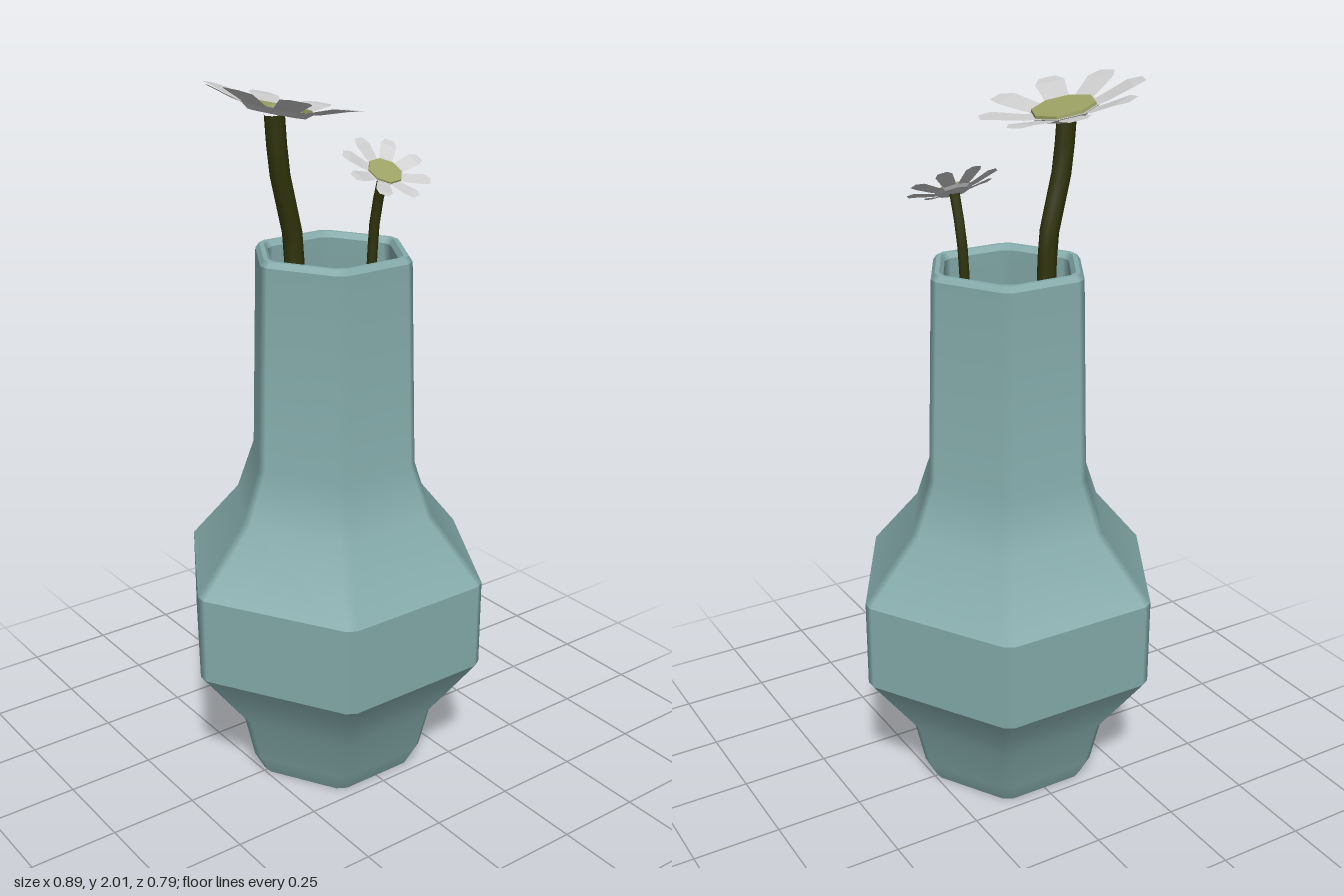
import * as THREE from 'three';

const rad = THREE.MathUtils.degToRad;
const mat = (color, flatShading, side = THREE.FrontSide) =>
  new THREE.MeshStandardMaterial({ color, flatShading, side });
const glaze = mat(0x84aaaa, false);
const white = mat(0xd8d8d8, true, THREE.DoubleSide);
const pollen = mat(0x9ca264, true);
const green = mat(0x30330a, false);

function mesh(name, geometry, material) {
  const m = new THREE.Mesh(geometry, material);
  m.name = name;
  return m;
}

// Hexagonal lathe with narrow bevelled corners: profile is [apothem, y].
// Gentle profile bends are smoothed, sharp ones stay crisp; the six sides stay flat.
function hexLathe(profile, bevel, crease) {
  const pos = [], nor = [], idx = [];
  const segs = profile.slice(1).map(([r, y], i) =>
    new THREE.Vector2(y - profile[i][1], profile[i][0] - r).normalize());
  const blend = (a, b) =>
    b && a.dot(b) > Math.cos(crease) ? a.clone().add(b).normalize() : a;
  segs.forEach((n, i) => {
    const base = pos.length / 3;
    [[profile[i], blend(n, segs[i - 1])], [profile[i + 1], blend(n, segs[i + 1])]].forEach(([[a, y], v]) => {
      const half = Math.max(0, a * Math.tan(Math.PI / 6) - bevel);
      for (let k = 0; k < 12; k++) {
        const phi = rad(30 + 60 * Math.floor(k / 2)), t = k % 2 ? half : -half;
        const c = Math.cos(phi), s = Math.sin(phi);
        pos.push(a * c - t * s, y, a * s + t * c);
        nor.push(v.x * c, v.y, v.x * s);
      }
    });
    for (let k = 0; k < 12; k++) {
      const a = base + k, b = base + (k + 1) % 12;
      idx.push(a, a + 12, b + 12, a, b + 12, b);
    }
  });
  const g = new THREE.BufferGeometry();
  g.setAttribute('position', new THREE.Float32BufferAttribute(pos, 3));
  g.setAttribute('normal', new THREE.Float32BufferAttribute(nor, 3));
  g.setIndex(idx);
  return g;
}

// One petal: a strip widened and lifted along its length
function petalGeometry() {
  const sections = [[0.06, 0.024, 0], [0.11, 0.034, 0.01], [0.185, 0.041, 0.032], [0.222, 0.023, 0.036]];
  const g = new THREE.PlaneGeometry(1, 1, 3, 1);
  const p = g.attributes.position;
  for (let i = 0; i < p.count; i++) {
    const [r, w, lift] = sections[i % 4];
    p.setXYZ(i, r, lift, i < 4 ? -w : w);
  }
  return g;
}

// Daisy head facing +y: eight petals round an octagonal centre
function flowerHead(name) {
  const head = new THREE.Group();
  head.name = name;
  const geo = petalGeometry();
  for (let i = 0; i < 8; i++) {
    const petal = mesh('petal', geo, white);
    petal.rotation.y = rad(22.5 + 45 * i);
    head.add(petal);
  }
  const collar = mesh('petalCollar', new THREE.CylinderGeometry(0.096, 0.075, 0.016, 8), white);
  const disc = mesh('flowerCentre', new THREE.CylinderGeometry(0.088, 0.09, 0.012, 8), pollen);
  disc.position.y = 0.01;
  head.add(collar, disc);
  return head;
}

function stem(name, points, radius) {
  const curve = new THREE.CatmullRomCurve3(points.map(p => new THREE.Vector3(...p)));
  return mesh(name, new THREE.TubeGeometry(curve, 24, radius, 8), green);
}

export function createModel() {
  const model = new THREE.Group();
  model.name = 'vaseWithFlowers';

  // Vase: outer wall upwards, over the rim, inner wall back down to the floor
  model.add(mesh('vase', hexLathe([
    [0, 0], [0.215, 0], [0.243, 0.06], [0.27, 0.19], [0.394, 0.38], [0.394, 0.63],
    [0.262, 0.81], [0.215, 0.96], [0.2, 1.525], [0.19, 1.54],
    [0.178, 1.54], [0.168, 1.525], [0.183, 0.96], [0.23, 0.8], [0.36, 0.62],
    [0.36, 0.39], [0.24, 0.2], [0.21, 0.04], [0, 0.04],
  ], 0.018, rad(27)), glaze));

  // Large flower, leaning to +x
  const large = flowerHead('largeFlower');
  large.position.set(-0.18, 1.922, 0.01);
  large.rotation.z = rad(-13);
  model.add(large, stem('largeStem', [
    [0, 0.05, 0.01], [-0.07, 0.8, 0.01], [-0.13, 1.45, 0.01], [-0.135, 1.59, 0.01],
    [-0.175, 1.77, 0.01], [-0.188, 1.915, 0.01],
  ], 0.027));

  // Small flower, leaning forwards
  const small = flowerHead('smallFlower');
  small.scale.setScalar(0.55);
  small.rotation.set(rad(31), rad(-14.5), 0);
  small.position.set(0.125, 1.738, 0.06);
  model.add(small, stem('smallStem', [
    [0.06, 0.05, 0], [0.1, 0.8, 0.01], [0.118, 1.5, 0.02], [0.122, 1.62, 0.028], [0.126, 1.732, 0.055],
  ], 0.014));

  return model;
}
